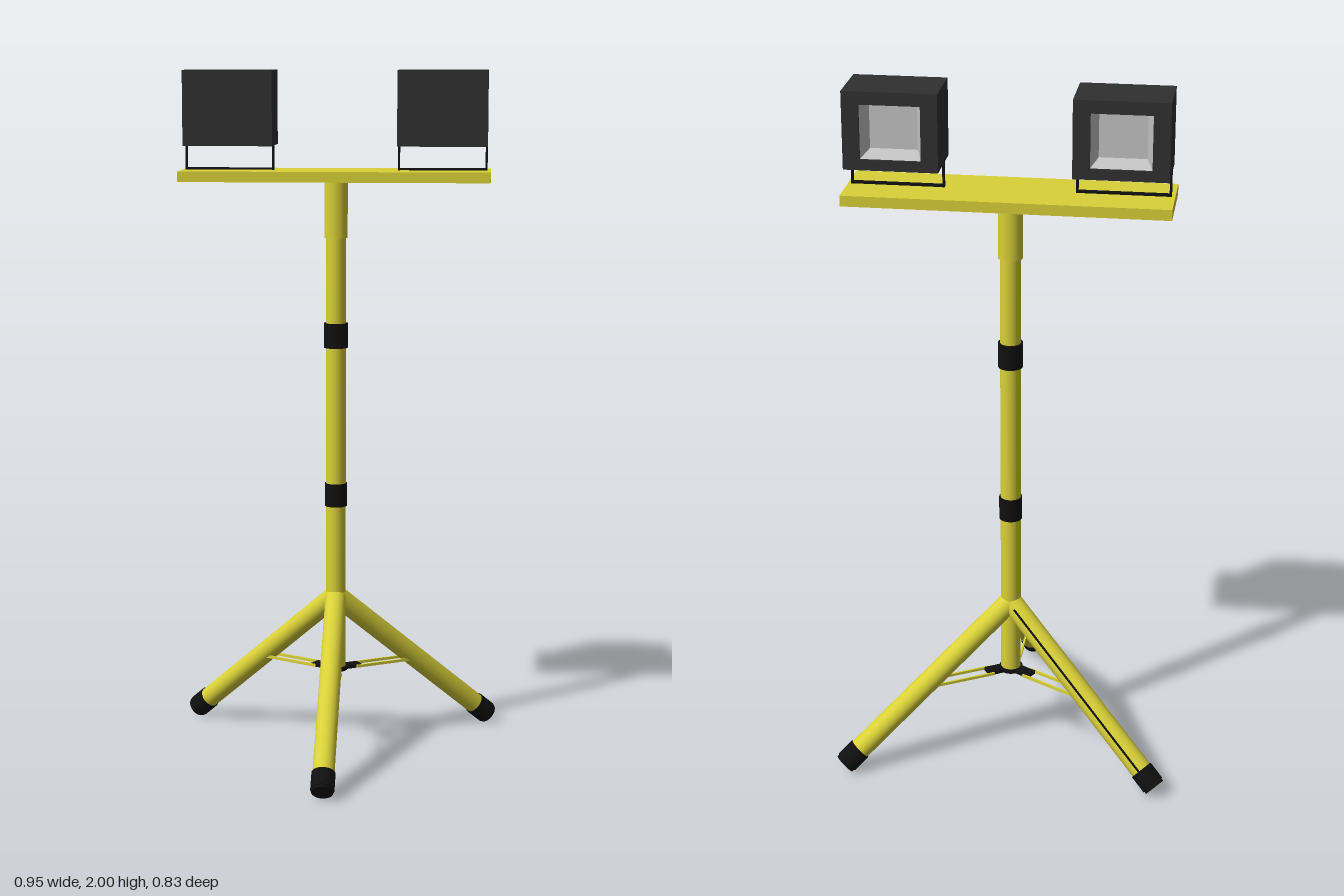
import * as THREE from 'three';

const mat = (name, color) => Object.assign(new THREE.MeshStandardMaterial({ color }), { name });

export function createModel() {
  const yellow = mat('yellow paint', 0xd9d138);
  const black = mat('black rubber', 0x101010);
  const charcoal = mat('charcoal housing', 0x303030);
  const silver = mat('silver reflector', 0xc4c4c4);
  silver.side = THREE.DoubleSide;

  const model = new THREE.Group();
  model.name = 'workLightStand';
  const poleZ = -0.123;

  const add = (parent, name, geometry, material, x = 0, y = 0, z = 0) => {
    const mesh = new THREE.Mesh(geometry, material);
    mesh.name = name;
    mesh.position.set(x, y, z);
    parent.add(mesh);
    return mesh;
  };
  const box = (w, h, d) => new THREE.BoxGeometry(w, h, d);
  const tube = (parent, name, material, r, y0, y1) =>
    add(parent, name, new THREE.CylinderGeometry(r, r, y1 - y0, 32), material, 0, (y0 + y1) / 2, 0);

  // Telescopic mast with its collars
  const mast = new THREE.Group();
  mast.name = 'mast';
  mast.position.z = poleZ;
  model.add(mast);
  tube(mast, 'pole', yellow, 0.029, 0.24, 1.69);
  tube(mast, 'topSleeve', yellow, 0.034, 1.52, 1.69).scale.z = 0.88;
  tube(mast, 'upperCollar', black, 0.035, 1.2, 1.272);
  tube(mast, 'lowerCollar', black, 0.033, 0.73, 0.798);
  tube(mast, 'braceHub', black, 0.034, 0.231, 0.243);

  // Three splayed legs with rubber feet and flat braces
  const slope = Math.atan(0.828);
  const legLength = 0.523 / Math.cos(slope);
  for (let i = 0; i < 3; i++) {
    const tripodSide = new THREE.Group();
    tripodSide.name = 'tripodSide' + (i + 1);
    tripodSide.rotation.y = i * Math.PI * 2 / 3;
    mast.add(tripodSide);

    // Leg axis runs along local -y, tilted towards local +z
    const leg = new THREE.Group();
    leg.name = 'leg';
    leg.position.y = 0.458;
    leg.rotation.x = -(Math.PI / 2 - slope);
    tripodSide.add(leg);
    tube(leg, 'legTube', yellow, 0.031, -legLength + 0.02, 0);
    tube(leg, 'foot', black, 0.034, -legLength + 0.008, -legLength + 0.062);
    tube(leg, 'footTip', black, 0.031, -legLength, -legLength + 0.01);

    // Thin dark seam along one rear leg
    if (i === 2) {
      const seam = new THREE.Group();
      seam.name = 'seam';
      seam.rotation.y = -Math.PI * 0.34;
      leg.add(seam);
      add(seam, 'legSeam', box(0.006, legLength - 0.08, 0.003), black, 0, -legLength / 2 + 0.01, 0.031);
    }

    add(tripodSide, 'hubArm', box(0.036, 0.01, 0.055), black, 0, 0.237, 0.05);
    for (const s of [-1, 1]) {
      add(tripodSide, 'brace', box(0.006, 0.008, 0.21), yellow, s * 0.02, 0.237, 0.165);
    }
  }

  // Crossbar plate
  add(model, 'crossbar', box(0.89, 0.03, 0.226), yellow, 0, 1.7, -0.125);

  // Lamp housing: open rear frame around a sloped reflector
  const W = 0.257, H = 0.215, D = 0.17, depth = 0.06;
  const rect = (path, w, h, cy = 0) => {
    path.moveTo(-w / 2, cy - h / 2);
    path.lineTo(w / 2, cy - h / 2);
    path.lineTo(w / 2, cy + h / 2);
    path.lineTo(-w / 2, cy + h / 2);
    path.closePath();
    return path;
  };
  const frame = rect(new THREE.Shape(), W, H);
  frame.holes.push(rect(new THREE.Path(), 0.165, 0.15, -0.003));
  const frameGeo = new THREE.ExtrudeGeometry(frame, { depth, bevelEnabled: false });

  // Four reflector walls tapering to the inner panel
  const reflectorGeo = new THREE.CylinderGeometry(Math.SQRT1_2, Math.SQRT1_2 * 0.78, 1, 4, 1, true, Math.PI / 4)
    .toNonIndexed();
  reflectorGeo.rotateX(-Math.PI / 2);
  reflectorGeo.scale(0.164, 0.149, depth - 0.006);
  reflectorGeo.computeVertexNormals();

  for (const s of [-1, 1]) {
    const lamp = new THREE.Group();
    lamp.name = s > 0 ? 'leftLamp' : 'rightLamp';
    lamp.position.set(s * 0.307, 1.8925, -0.143);
    model.add(lamp);
    add(lamp, 'housing', box(W, H, D - depth), charcoal, 0, 0, depth / 2);
    add(lamp, 'bezel', frameGeo, charcoal, 0, 0, -D / 2);
    add(lamp, 'reflector', reflectorGeo, silver, 0, -0.003, -D / 2 + depth / 2 + 0.002);
    add(lamp, 'lightPanel', box(0.164, 0.149, 0.003), silver, 0, -0.003, -D / 2 + depth - 0.002);

    // U-shaped mounting bracket
    add(lamp, 'bracketBase', box(W, 0.006, 0.012), black, 0, -0.174, 0.02);
    for (const e of [-1, 1]) {
      add(lamp, 'bracketArm', box(0.006, 0.075, 0.012), black, e * (W / 2 - 0.003), -0.14, 0.02);
    }
  }

  return model;
}
